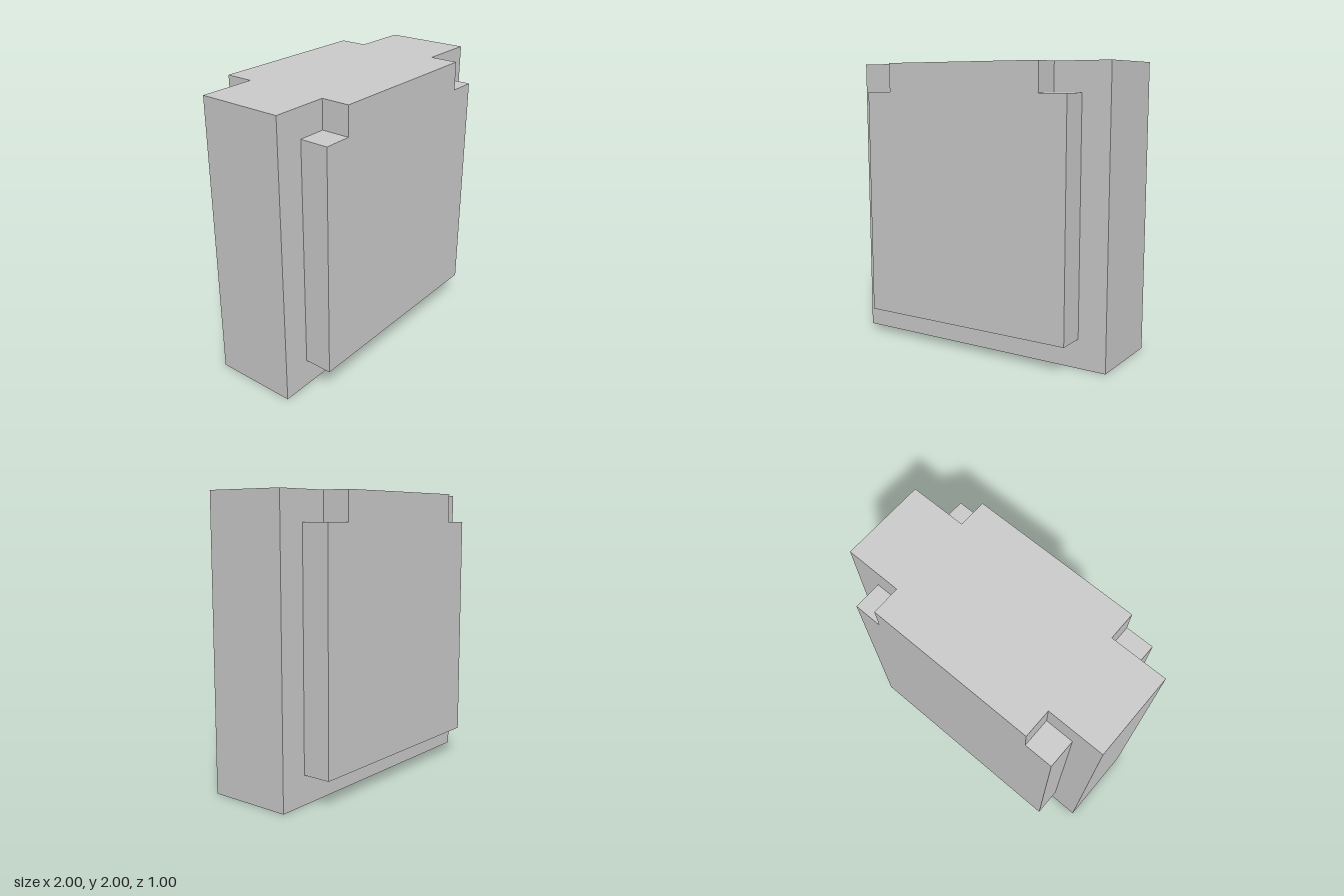
import * as THREE from 'three';

export function createModel() {
  const model = new THREE.Group();
  const material = new THREE.MeshStandardMaterial({ color: 0xcccccc, flatShading: true });

  // Main slab
  const body = new THREE.Mesh(new THREE.BoxGeometry(2, 2, 0.6), material);
  body.name = 'body';
  body.position.y = 1;
  model.add(body);

  // Raised panel outline with stepped upper corners
  const outline = new THREE.Shape([
    [-0.8, 0.2], [0.8, 0.2], [0.8, 1.8], [0.6, 1.8],
    [0.6, 2], [-0.6, 2], [-0.6, 1.8], [-0.8, 1.8],
  ].map(([x, y]) => new THREE.Vector2(x, y)));
  const panelGeometry = new THREE.ExtrudeGeometry(outline, { depth: 0.2, bevelEnabled: false });
  panelGeometry.translate(0, 0, 0.3);

  // The same panel on the front and the back
  [['frontPanel', 0], ['backPanel', Math.PI]].forEach(([name, angle]) => {
    const panel = new THREE.Mesh(panelGeometry, material);
    panel.name = name;
    panel.rotation.y = angle;
    model.add(panel);
  });

  return model;
}
